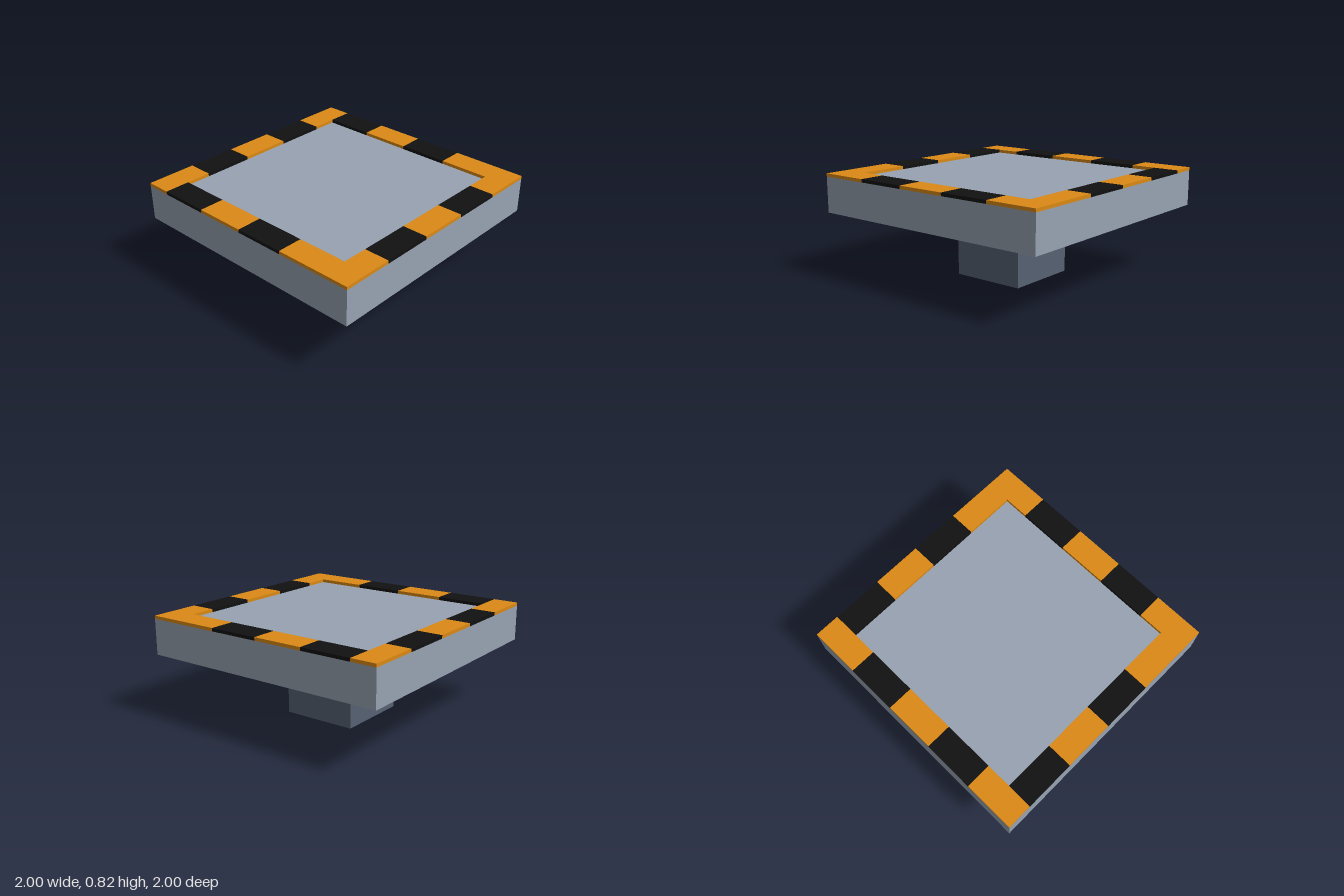
import * as THREE from 'three';

export function createModel() {
  const model = new THREE.Group();
  model.name = 'pedestalPlatform';

  const material = (name, color) => {
    const m = new THREE.MeshStandardMaterial({ color });
    m.name = name;
    return m;
  };
  const steel = material('light steel', 0x97a2b1);
  const darkSteel = material('dark steel', 0x566172);
  const amber = material('amber', 0xdb8915);
  const black = material('black', 0x111111);

  // Box given by its lower and upper corners
  const box = (name, mat, [x0, y0, z0], [x1, y1, z1], parent = model) => {
    const mesh = new THREE.Mesh(new THREE.BoxGeometry(x1 - x0, y1 - y0, z1 - z0), mat);
    mesh.position.set((x0 + x1) / 2, (y0 + y1) / 2, (z0 + z1) / 2);
    mesh.name = name;
    parent.add(mesh);
  };

  // Square column and the slab it carries
  box('column', darkSteel, [-0.3, 0, -0.3], [0.3, 0.52, 0.3]);
  box('slab', steel, [-1, 0.52, -1], [1, 0.8, 1]);

  // Raised hazard border of alternating blocks
  const border = new THREE.Group();
  border.name = 'hazardBorder';
  model.add(border);
  const bottom = 0.8, top = 0.825;

  // Front and back strips: five blocks, amber at the corners
  for (const [name, z] of [['back', -1], ['front', 0.8]]) {
    for (let i = 0; i < 5; i++) {
      const x = -1 + i * 0.4;
      box(`${name}Block${i + 1}`, i % 2 ? black : amber, [x, bottom, z], [x + 0.4, top, z + 0.2], border);
    }
  }

  // Side strips between them: four blocks, black at the back
  for (const [name, x] of [['right', -1], ['left', 0.8]]) {
    for (let i = 0; i < 4; i++) {
      const z = -0.8 + i * 0.4;
      box(`${name}Block${i + 1}`, i % 2 ? amber : black, [x, bottom, z], [x + 0.2, top, z + 0.4], border);
    }
  }

  return model;
}
